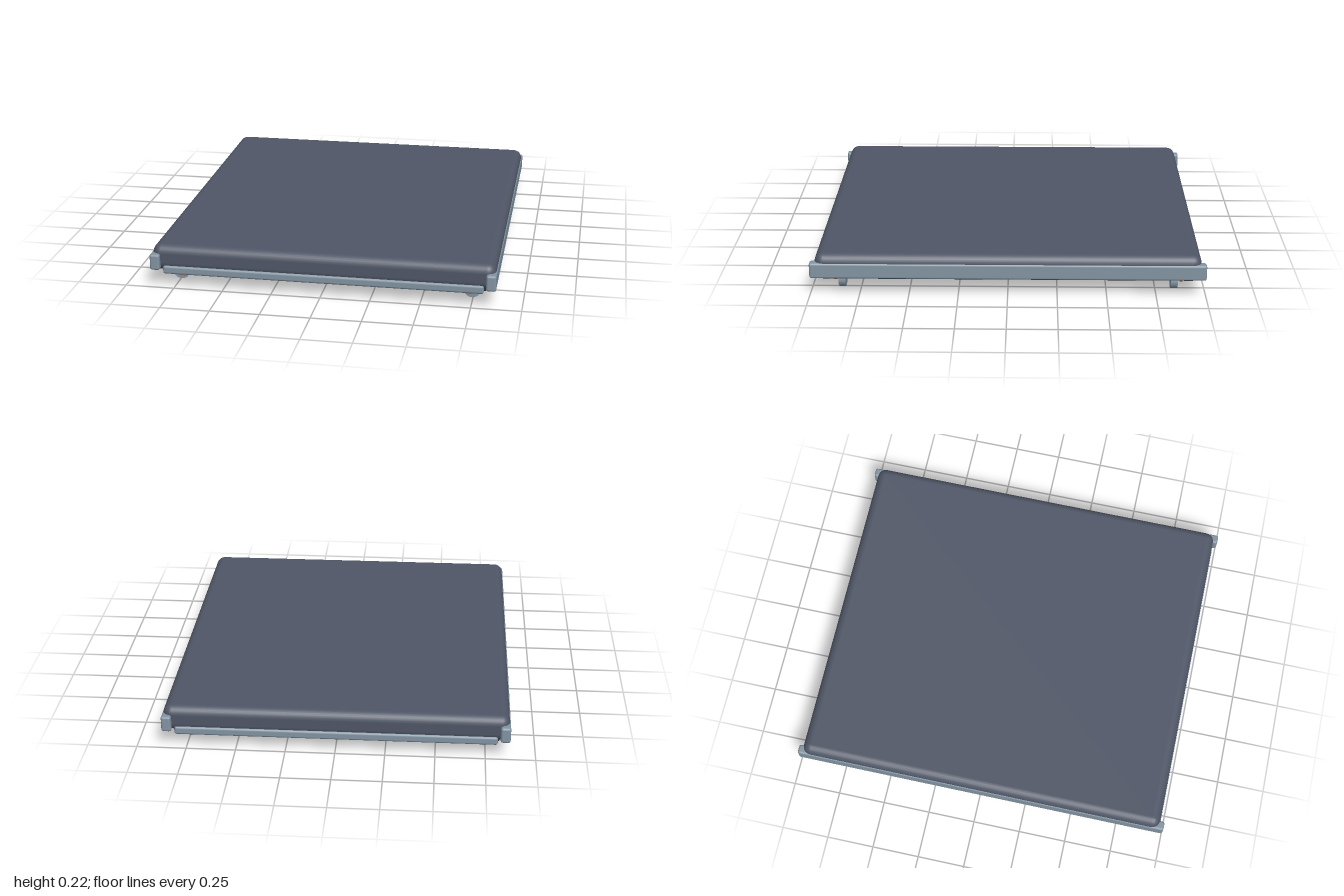
import * as THREE from 'three';
import { RoundedBoxGeometry } from 'three/addons/geometries/RoundedBoxGeometry.js';

const mat = (name, color) => {
  const m = new THREE.MeshStandardMaterial({ color });
  m.name = name;
  return m;
};

export function createModel() {
  const model = new THREE.Group();
  model.name = 'flatPanel';

  const slate = mat('slate', 0x4f5666);
  const steel = mat('steel', 0x8294a2);
  const charcoal = mat('charcoal', 0x2c323b);
  const black = mat('black', 0x181d25);
  const teal = mat('teal', 0x35808f);
  const orange = mat('orange', 0xc0692a);

  const add = (name, geometry, material, x, y, z) => {
    const mesh = new THREE.Mesh(geometry, material);
    mesh.name = name;
    mesh.position.set(x, y, z);
    model.add(mesh);
    return mesh;
  };
  // Rounded box given by its extents on each axis
  const block = (name, material, [x0, x1], [y0, y1], [z0, z1], r) =>
    add(name, new RoundedBoxGeometry(x1 - x0, y1 - y0, z1 - z0, 3, r), material,
      (x0 + x1) / 2, (y0 + y1) / 2, (z0 + z1) / 2);
  // Disc with its axis along z
  const disc = (name, material, r, depth, x, y, z) =>
    add(name, new THREE.CylinderGeometry(r, r, depth, 24).rotateX(Math.PI / 2), material, x, y, z);
  // Extents mirrored by side
  const side = (s, a, b) => (s > 0 ? [a, b] : [-b, -a]);

  // Main slab and underside plate
  block('topSlab', slate, [-0.867, 0.867], [0.08, 0.215], [-0.975, 0.975], 0.045);
  block('undersidePlate', charcoal, [-0.82, 0.82], [0.068, 0.1], [-0.94, 0.94], 0.006);

  // Central screen and its frame
  block('screenFrame', black, [-0.35, 0.35], [0.052, 0.075], [-0.75, 0.75], 0.01);
  block('screen', teal, [-0.285, 0.285], [0.038, 0.06], [-0.695, 0.695], 0.008);

  for (const s of [1, -1]) {
    block('sideRail', steel, side(s, 0.822, 0.872), [0.09, 0.173], [-1, 1], 0.012);
    block('endRail', steel, [-0.81, 0.81], [0.066, 0.11], side(s, 0.932, 0.981), 0.012);
    block('lightStrip', teal, side(s, 0.375, 0.395), [0.038, 0.053], [-0.64, 0.64], 0.006);
    // Joins the strip to the plate
    block('stripBase', black, side(s, 0.372, 0.398), [0.052, 0.072], [-0.65, 0.65], 0.004);

    // Vent with five slats
    block('ventTray', black, side(s, 0.48, 0.77), [0.058, 0.075], [-0.74, 0.74], 0.008);
    for (let i = 0; i < 5; i++) {
      const x = 0.52 + i * 0.053;
      block('ventSlat', steel, side(s, x - 0.008, x + 0.008), [0.042, 0.064], [-0.705, 0.705], 0.007);
    }

    // Corner feet, pivots and latches
    for (const e of [1, -1]) {
      disc('foot', steel, 0.043, 0.036, s * 0.745, 0.043, e * 0.846);
      disc('footPivot', orange, 0.02, 0.014, s * 0.725, 0.046, e * 0.885);
    }
    block('frontLatch', black, side(s, 0.61, 0.7), [0.047, 0.07], [0.785, 0.845], 0.01);
    block('backLatch', orange, side(s, 0.665, 0.735), [0.049, 0.07], [-0.832, -0.752], 0.006);
  }

  return model;
}
